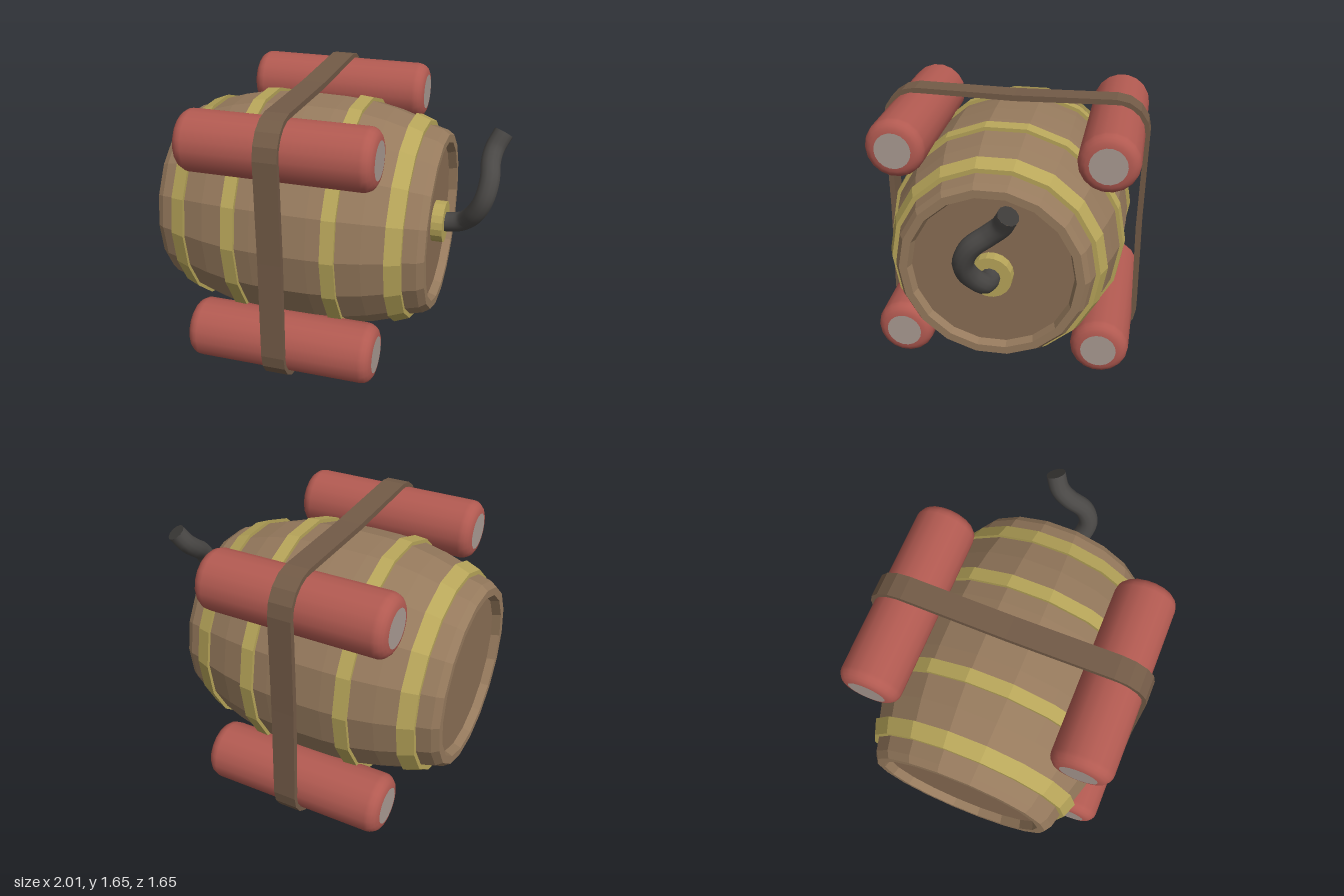
import * as THREE from 'three';

const SIDES = 18;
const CX = -0.18, CY = 0.83; // barrel centre
const mat = (color, flatShading = true) => new THREE.MeshStandardMaterial({ color, flatShading });

// Lathe whose axis lies along x; profile entries are [x, radius], in order of rising x on the outside
function latheX(name, profile, material) {
  const geo = new THREE.LatheGeometry(profile.map(([x, r]) => new THREE.Vector2(r, x)), SIDES);
  geo.rotateZ(-Math.PI / 2);
  const mesh = new THREE.Mesh(geo, material);
  mesh.name = name;
  return mesh;
}

// Closed loop of points: arcs round the four corners, with slightly pinched straights
function strapLoop(PathType, radius, pinch) {
  const path = new PathType();
  const pts = [];
  const cz = 0.615, cy = 0.6175, steps = 4;
  [[1, 1], [-1, 1], [-1, -1], [1, -1]].forEach(([sz, sy], i) => {
    for (let k = 0; k <= steps; k++) {
      const a = (i + k / steps) * Math.PI / 2;
      pts.push(new THREE.Vector2(sz * cz + radius * Math.cos(a), sy * cy + radius * Math.sin(a)));
    }
    const m = (i + 1) * Math.PI / 2, d = cz + radius - pinch;
    pts.push(new THREE.Vector2(d * Math.cos(m), d * Math.sin(m)));
  });
  path.setFromPoints(pts);
  return path;
}

export function createModel() {
  const model = new THREE.Group();
  model.name = 'explosiveBarrel';
  const wood = mat(0x967a5d), headWood = mat(0x8a6e54), brass = mat(0xb8a65a), leather = mat(0x735b47);
  const red = mat(0xb25a51, false), paper = mat(0xaa9b93), cord = mat(0x4a4846, false), cordEnd = mat(0x3c3a38);

  // Barrel body with bulging staves and recessed rims
  const barrel = new THREE.Group();
  barrel.name = 'barrel';
  barrel.position.set(CX, CY, 0);
  const half = [[0.0, 0.715], [0.17, 0.712], [0.34, 0.698], [0.48, 0.668], [0.61, 0.628], [0.7, 0.588],
    [0.78, 0.567], [0.82, 0.54], [0.82, 0.492], [0.77, 0.475]];
  const staves = [...half.slice(1).reverse().map(([x, r]) => [-x, r]), ...half];
  barrel.add(latheX('staves', staves, wood));
  for (const s of [-1, 1]) {
    const head = new THREE.Mesh(new THREE.CircleGeometry(0.476, SIDES), headWood);
    head.name = s > 0 ? 'leftHead' : 'rightHead';
    head.rotation.y = s * Math.PI / 2;
    head.position.x = s * 0.77;
    barrel.add(head);
  }

  // Hoops: a slanted pair at the ends and a wider pair nearer the middle
  const hoops = [['endHoop', 0.61, 0.7, 0.65, 0.615, 0.57], ['middleHoop', 0.26, 0.34, 0.727, 0.72, 0.68]];
  for (const [name, x0, x1, r0, r1, inner] of hoops) {
    for (const s of [-1, 1]) {
      const loop = [[x0, inner], [x0, r0], [x1, r1], [x1, inner], [x0, inner]];
      const profile = s > 0 ? loop : loop.map(([x, r]) => [-x, r]).reverse();
      barrel.add(latheX(name, profile, brass));
    }
  }
  model.add(barrel);

  // Four rounded sticks around the barrel
  const R = 0.18, round = 0.07, half2 = 0.573;
  const stickProfile = [];
  for (let k = 0; k <= 5; k++) {
    const a = k / 5 * Math.PI / 2;
    stickProfile.push([half2 - round + round * Math.sin(a), R - round + round * Math.cos(a)]);
  }
  const fullProfile = [...stickProfile.map(([x, r]) => [-x, r]).reverse(), ...stickProfile];
  for (const sy of [-1, 1]) for (const sz of [-1, 1]) {
    const stick = new THREE.Group();
    stick.name = 'stick';
    stick.position.set(CX, 0.8275 + sy * 0.6175, sz * 0.617);
    stick.add(latheX('wrapper', fullProfile, red));
    for (const s of [-1, 1]) {
      const cap = new THREE.Mesh(new THREE.CircleGeometry(R - round, SIDES), paper);
      cap.name = 'stickEnd';
      cap.rotation.y = s * Math.PI / 2;
      cap.position.x = s * half2;
      stick.add(cap);
    }
    model.add(stick);
  }

  // Strap binding the sticks
  const shape = strapLoop(THREE.Shape, 0.21, 0.008);
  shape.holes.push(strapLoop(THREE.Path, 0.178, 0.012));
  const strapGeo = new THREE.ExtrudeGeometry(shape, { depth: 0.14, bevelEnabled: false });
  strapGeo.rotateY(Math.PI / 2);
  const strap = new THREE.Mesh(strapGeo, leather);
  strap.name = 'strap';
  strap.position.set(-0.25, 0.8275, 0);
  model.add(strap);

  // Bung that holds the fuse
  const bung = new THREE.Mesh(new THREE.CylinderGeometry(0.127, 0.127, 0.08, SIDES), brass);
  bung.name = 'bung';
  bung.rotation.z = -Math.PI / 2;
  bung.position.set(0.62, CY, 0);
  model.add(bung);

  // Curling fuse with a flat tip
  const curve = new THREE.CatmullRomCurve3([
    [0.62, 0.83, 0], [0.7, 0.835, 0], [0.77, 0.86, 0.015], [0.85, 0.96, 0.08], [0.895, 1.06, 0.095],
    [0.912, 1.16, 0.05], [0.9, 1.24, -0.05], [0.91, 1.3, -0.115], [0.95, 1.385, -0.16],
  ].map(p => new THREE.Vector3(...p)));
  const fuse = new THREE.Mesh(new THREE.TubeGeometry(curve, 32, 0.06, 12), cord);
  fuse.name = 'fuse';
  const tip = new THREE.Mesh(new THREE.CircleGeometry(0.06, 12), cordEnd);
  tip.name = 'fuseTip';
  tip.position.copy(curve.getPoint(1));
  tip.quaternion.setFromUnitVectors(new THREE.Vector3(0, 0, 1), curve.getTangent(1));
  model.add(fuse, tip);

  return model;
}
